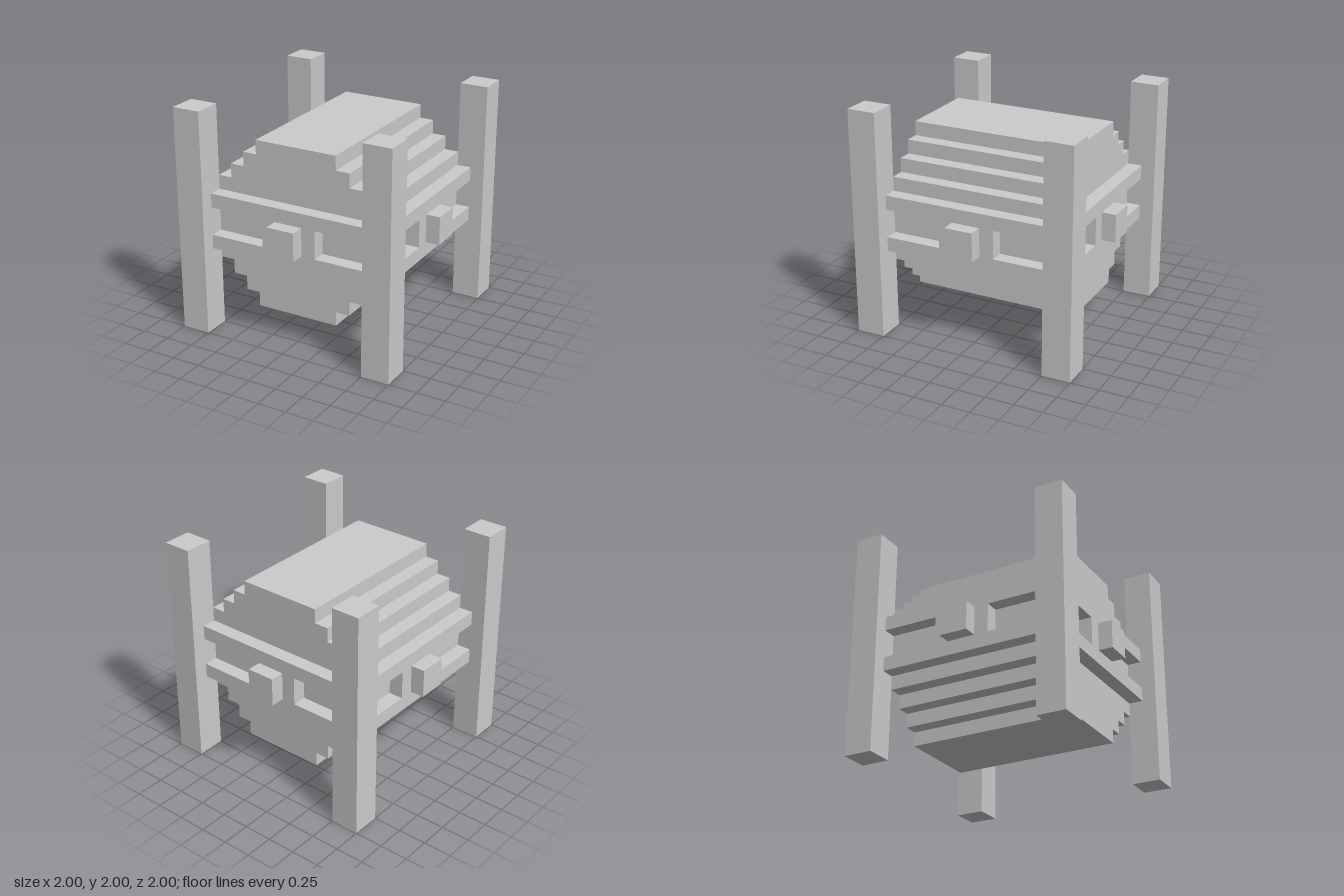
import * as THREE from 'three';

const U = 0.125; // one grid step

export function createModel() {
  const model = new THREE.Group();
  model.name = 'barrelInFrame';
  const material = new THREE.MeshStandardMaterial({ color: 0xcccccc, flatShading: true });

  const add = (parent, name, geometry, x, y, z) => {
    const mesh = new THREE.Mesh(geometry, material);
    mesh.name = name;
    mesh.position.set(x, y, z);
    parent.add(mesh);
    return mesh;
  };
  const box = (w, h, d) => new THREE.BoxGeometry(w * U, h * U, d * U);

  // Stepped barrel: right half of the outline, mirrored and extruded along z
  const half = [[3, 2], [3, 3], [4, 3], [4, 4], [5, 4], [5, 5], [6, 5],
    [6, 11], [5, 11], [5, 12], [4, 12], [4, 13], [3, 13], [3, 14]];
  const outline = [...half, ...half.map(([x, y]) => [-x, y]).reverse()];
  const shape = new THREE.Shape(outline.map(([x, y]) => new THREE.Vector2(x * U, y * U)));
  add(model, 'barrelBody',
    new THREE.ExtrudeGeometry(shape, { depth: 12 * U, bevelEnabled: false }), 0, 0, -6 * U);

  // Four corner posts
  for (const sx of [-1, 1]) {
    for (const sz of [-1, 1]) add(model, 'cornerPost', box(2, 16, 2), sx * 7 * U, 1, sz * 7 * U);
  }

  // Band on each side: two rails, a joining plate and a central peg
  for (let i = 0; i < 4; i++) {
    const band = new THREE.Group();
    band.name = 'sideBand';
    add(band, 'lowerRail', box(12, 1, 1), 0, 6.5 * U, 6.5 * U);
    add(band, 'upperRail', box(12, 1, 1), 0, 9.5 * U, 6.5 * U);
    add(band, 'plate', box(4, 2, 1), 0, 1, 6.5 * U);
    add(band, 'peg', box(2, 2, 1), 0, 1, 7.5 * U);
    band.rotation.y = i * Math.PI / 2;
    model.add(band);
  }
  return model;
}
